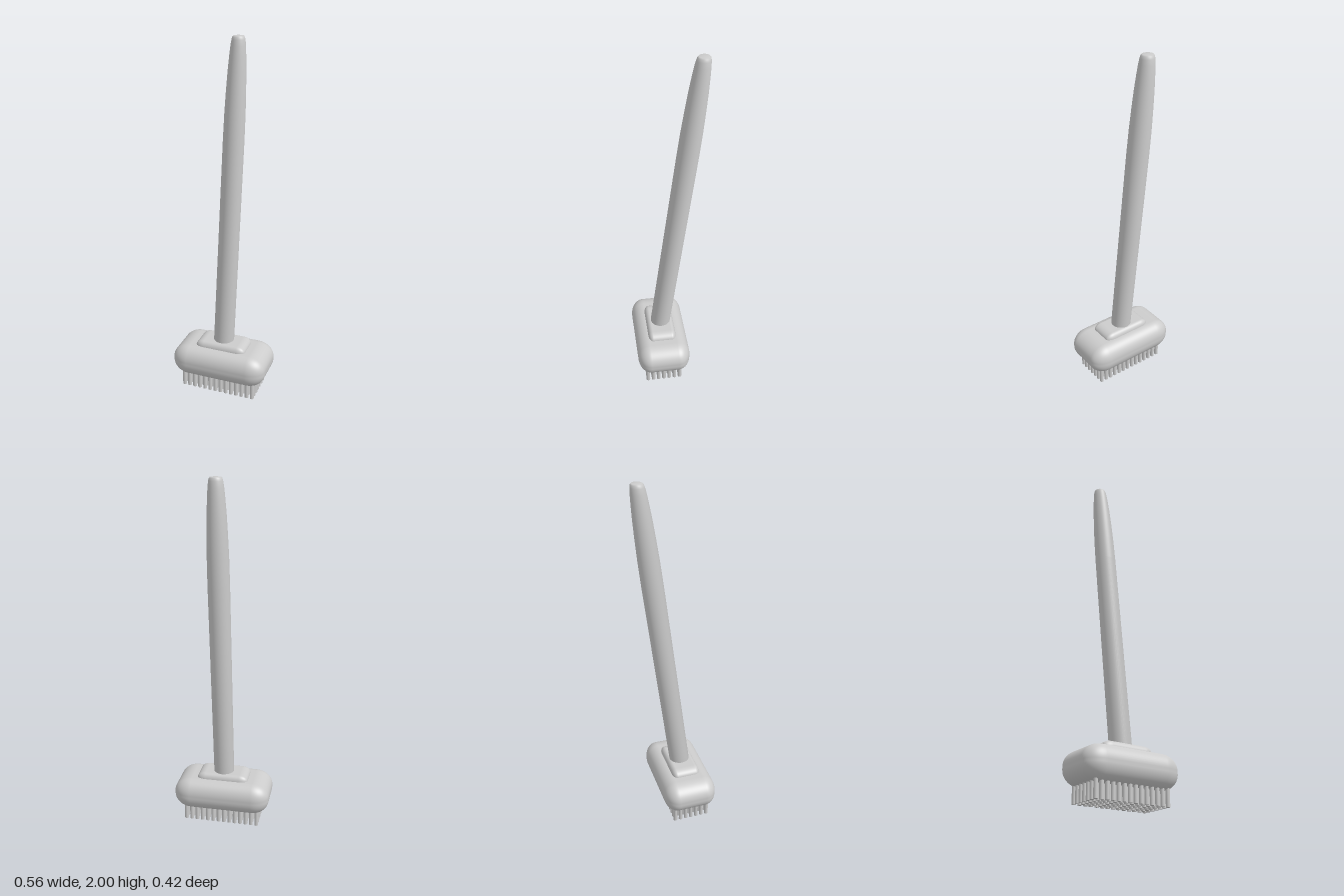
import * as THREE from 'three';
import { RoundedBoxGeometry } from 'three/addons/geometries/RoundedBoxGeometry.js';

const grey = new THREE.MeshStandardMaterial({ color: 0xcccccc });

// Box with a different rounding radius along each axis
function softBox(name, size, radii, position) {
  const [w, h, d] = size.map((s, i) => s / radii[i]);
  const geometry = new RoundedBoxGeometry(w, h, d, 8, 1).scale(...radii);
  const mesh = new THREE.Mesh(geometry, grey);
  mesh.name = name;
  mesh.position.set(...position);
  return mesh;
}

export function createModel() {
  const model = new THREE.Group();
  model.name = 'scrubBrush';
  const midZ = 0.051;

  // Brush head and the raised pad that carries the handle
  model.add(softBox('head', [0.56, 0.185, 0.312], [0.1, 0.085, 0.075], [0, 0.1725, midZ]));
  model.add(softBox('handlePad', [0.3, 0.08, 0.167], [0.05, 0.036, 0.028], [0, 0.257, midZ]));

  // Handle: tapered round rod, sheared backwards so its rings stay level
  const profile = [
    [0, 0.27], [0.059, 0.27], [0.059, 1.45], [0.0575, 1.6], [0.054, 1.72], [0.05, 1.82],
    [0.045, 1.9], [0.041, 1.95], [0.037, 1.98], [0.033, 1.994], [0.027, 2], [0, 2],
  ].map(([r, y]) => new THREE.Vector2(r, y));
  const rod = new THREE.LatheGeometry(profile, 40);
  const p = rod.attributes.position;
  for (let i = 0; i < p.count; i++) {
    p.setZ(i, p.getZ(i) + 0.047 - (p.getY(i) - 0.3) * 0.13);
  }
  const handle = new THREE.Mesh(rod, grey);
  handle.name = 'handle';
  model.add(handle);

  // Grid of bristle tufts under the head
  const bristles = new THREE.Group();
  bristles.name = 'bristles';
  const tuft = new THREE.CylinderGeometry(0.0115, 0.0115, 0.11, 10);
  const columns = 14, rows = 7, pitch = 0.0325;
  for (let i = 0; i < columns; i++) {
    for (let j = 0; j < rows; j++) {
      const bristle = new THREE.Mesh(tuft, grey);
      bristle.name = 'bristle';
      bristle.position.set((i - (columns - 1) / 2) * pitch, 0.055, midZ + 0.004 + (j - (rows - 1) / 2) * pitch);
      bristles.add(bristle);
    }
  }
  model.add(bristles);
  return model;
}
